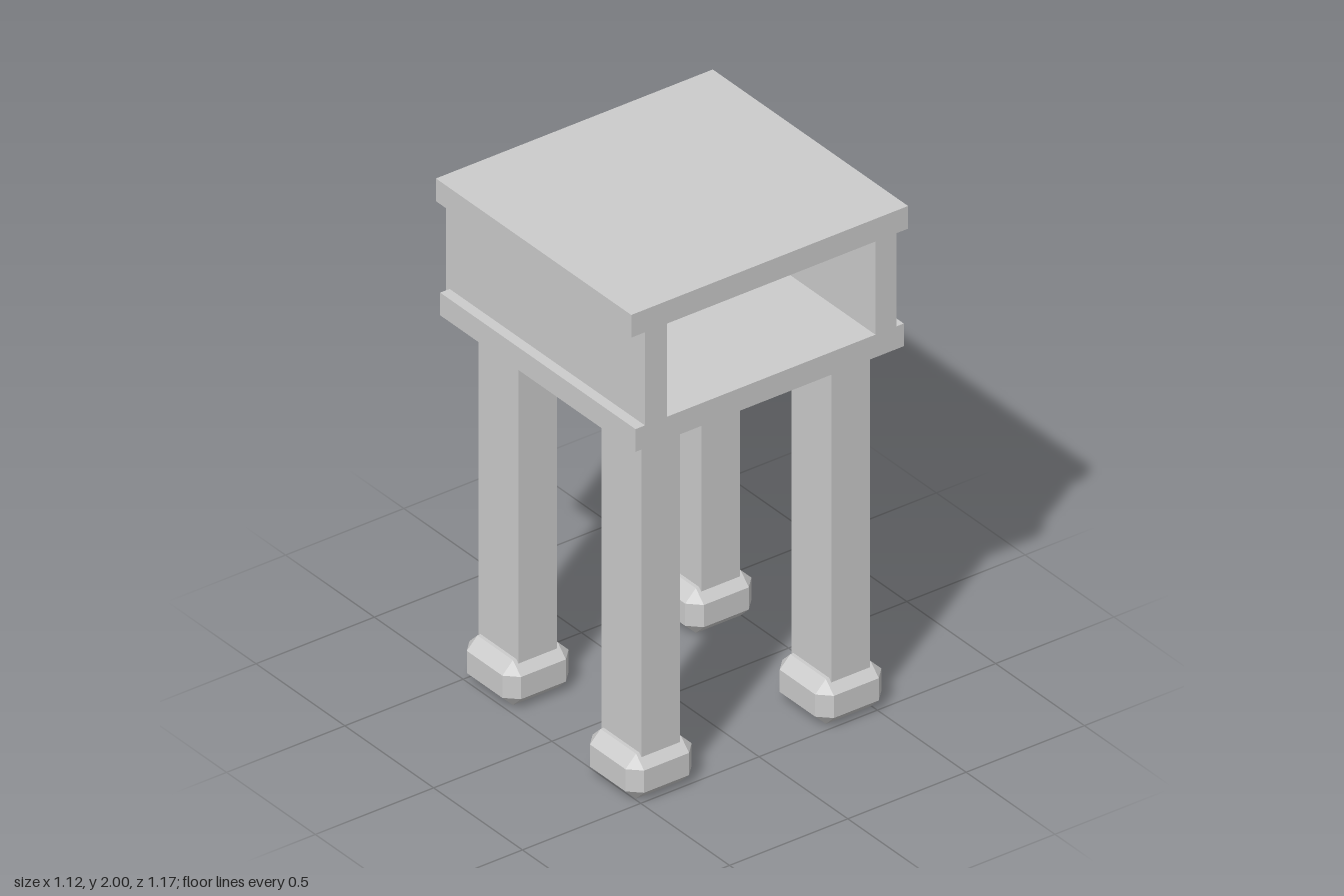
import * as THREE from 'three';
import { ConvexGeometry } from 'three/addons/geometries/ConvexGeometry.js';

const material = new THREE.MeshStandardMaterial({ color: 0xcccccc, flatShading: true });

function addMesh(parent, name, geometry, x = 0, y = 0, z = 0) {
  const mesh = new THREE.Mesh(geometry, material);
  mesh.name = name;
  mesh.position.set(x, y, z);
  parent.add(mesh);
  return mesh;
}

// Box with every edge and corner cut at 45 degrees
function chamferedBox(w, h, d, c) {
  const points = [];
  for (const sx of [-1, 1]) for (const sy of [-1, 1]) for (const sz of [-1, 1]) {
    const [x, y, z] = [w / 2, h / 2, d / 2];
    points.push(
      new THREE.Vector3(sx * x, sy * (y - c), sz * (z - c)),
      new THREE.Vector3(sx * (x - c), sy * y, sz * (z - c)),
      new THREE.Vector3(sx * (x - c), sy * (y - c), sz * z)
    );
  }
  return new ConvexGeometry(points);
}

// Hollow case: overhanging top and base with recessed walls, open toward +x
function caseGeometry() {
  const toPoints = (list) => list.map(([z, y]) => new THREE.Vector2(-z, y));
  const shape = new THREE.Shape(toPoints([
    [0.567, 1.45], [-0.567, 1.45], [-0.567, 1.54], [-0.537, 1.54],
    [-0.537, 1.91], [-0.585, 1.91], [-0.585, 2], [0.585, 2],
    [0.585, 1.91], [0.527, 1.91], [0.527, 1.54], [0.567, 1.54],
  ]));
  shape.holes.push(new THREE.Path(toPoints([
    [0.435, 1.54], [0.435, 1.91], [-0.447, 1.91], [-0.447, 1.54],
  ])));
  const geometry = new THREE.ExtrudeGeometry(shape, { depth: 1.1, bevelEnabled: false });
  return geometry.rotateY(Math.PI / 2).translate(-0.54, 0, 0);
}

export function createModel() {
  const model = new THREE.Group();
  model.name = 'bedsideTable';

  addMesh(model, 'case', caseGeometry());

  // Thin panel closing the -x end
  addMesh(model, 'backPanel', new THREE.BoxGeometry(0.022, 0.48, 1.06), -0.551, 1.73, -0.005);

  // Four square-cut legs, each on a chamfered foot; one leg is set slightly inward
  const legShape = new THREE.BoxGeometry(0.225, 1.36, 0.163);
  const footShape = chamferedBox(0.29, 0.178, 0.28, 0.045);
  const legs = [
    ['frontLeftLeg', 0.366, 0.399],
    ['frontRightLeg', -0.366, 0.37],
    ['backLeftLeg', 0.366, -0.403],
    ['backRightLeg', -0.366, -0.403],
  ];
  for (const [name, x, z] of legs) {
    const group = new THREE.Group();
    group.name = name;
    group.position.set(x, 0, z);
    addMesh(group, 'post', legShape, 0, 0.77, 0);
    addMesh(group, 'foot', footShape, 0, 0.089, 0);
    model.add(group);
  }
  return model;
}
